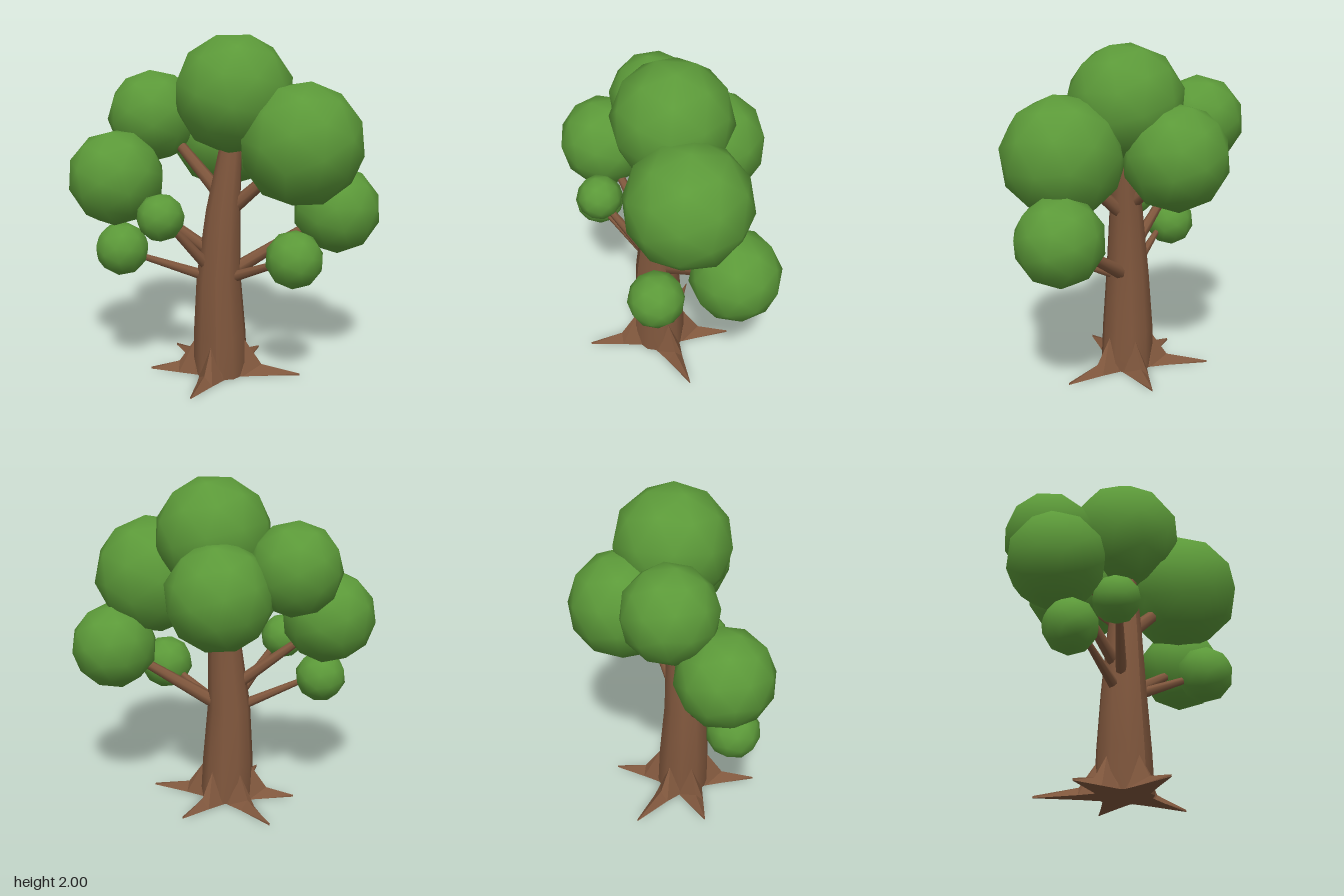
import * as THREE from 'three';

export function createModel() {
  const tree = new THREE.Group();
  tree.name = 'tree';
  const bark = new THREE.MeshStandardMaterial({ color: 0x80573d });
  bark.name = 'bark brown';
  const leaf = new THREE.MeshStandardMaterial({ color: 0x5c9a39 });
  leaf.name = 'leaf green';

  const add = (name, geometry, material) => {
    const mesh = new THREE.Mesh(geometry, material);
    mesh.name = name;
    tree.add(mesh);
    return mesh;
  };

  // Trunk: a cylinder whose rings follow a leaning, tapering path [y, x, z, radius]
  const rings = [
    [0, -0.02, 0.12, 0.165], [0.25, -0.025, 0.12, 0.157], [0.6, -0.03, 0.125, 0.132],
    [1.0, -0.005, 0.11, 0.102], [1.37, 0.035, 0.08, 0.066], [1.6, 0.05, 0.06, 0.045],
  ];
  const trunk = new THREE.CylinderGeometry(1, 1, rings.length - 1, 10, rings.length - 1);
  const p = trunk.attributes.position;
  for (let i = 0; i < p.count; i++) {
    const [y, x, z, r] = rings[Math.round(p.getY(i) + (rings.length - 1) / 2)];
    p.setXYZ(i, x + p.getX(i) * r, y, z + p.getZ(i) * r);
  }
  trunk.computeVertexNormals();
  add('trunk', trunk, bark);

  // Roots: triangular sections [distance, ridge height, half width] running out to a point
  const rootGeometry = (length) => {
    const sections = [[0.07, 0.3, 0.1], [0.15, 0.2, 0.078], [0.25, 0.055, 0.05], [length, 0.012, 0.002]];
    const v = [];
    const tri = (a, b, c) => v.push(...a, ...b, ...c);
    const quad = (a, b, c, d) => { tri(a, b, c); tri(a, c, d); };
    const corners = ([d, h, w]) => [[d, 0, w], [d, h, 0], [d, 0, -w]];
    for (let i = 0; i < sections.length - 1; i++) {
      const a = corners(sections[i]), b = corners(sections[i + 1]);
      for (let k = 0; k < 3; k++) {
        const n = (k + 1) % 3;
        quad(a[k], b[k], b[n], a[n]);
      }
    }
    const g = new THREE.BufferGeometry();
    g.setAttribute('position', new THREE.Float32BufferAttribute(v, 3));
    g.computeVertexNormals();
    return g;
  };
  const rootTips = [[0.46, 0.14], [0.17, -0.28], [-0.36, -0.25], [-0.44, 0.16], [-0.13, 0.56]];
  for (const [x, z] of rootTips) {
    const dx = x + 0.02, dz = z - 0.12;
    const root = add('root', rootGeometry(Math.hypot(dx, dz)), bark);
    root.position.set(-0.02, 0, 0.12);
    root.rotation.y = -Math.atan2(dz, dx);
  }

  // Branches: [start, end, start radius, end radius]
  const branches = [
    [[-0.08, 0.59, 0.13], [-0.46, 0.745, 0.27], 0.034, 0.018],
    [[-0.07, 0.64, 0.15], [-0.28, 0.95, 0.34], 0.036, 0.02],
    [[-0.06, 0.73, 0.12], [-0.45, 1.03, 0.18], 0.04, 0.024],
    [[-0.01, 1.07, 0.1], [-0.32, 1.4, -0.02], 0.045, 0.03],
    [[0.02, 0.98, 0.1], [0.34, 1.28, 0.15], 0.045, 0.032],
    [[0.0, 1.03, 0.1], [-0.04, 1.27, -0.18], 0.045, 0.03],
    [[0.03, 0.61, 0.1], [0.5, 0.9, 0.0], 0.045, 0.027],
    [[0.03, 0.59, 0.14], [0.34, 0.74, 0.3], 0.034, 0.02],
  ];
  for (const [start, end, r0, r1] of branches) {
    const a = new THREE.Vector3(...start), b = new THREE.Vector3(...end);
    const dir = b.clone().sub(a);
    const branch = add('branch', new THREE.CylinderGeometry(r1, r0, dir.length(), 7), bark);
    branch.position.copy(a).lerp(b, 0.5);
    branch.quaternion.setFromUnitVectors(new THREE.Vector3(0, 1, 0), dir.normalize());
  }

  // Foliage: rounded clumps [x, y, z, radius, tilt x, turn y, tilt z]
  const clumps = [
    [0.05, 1.67, 0.055, 0.35, 0.12, 0.1, 0.27],
    [0.45, 1.4, 0.16, 0.36, 0.1, 0.4, -0.15],
    [0.65, 0.99, -0.03, 0.26, 0.3, 0.2, 0.3],
    [-0.05, 1.38, -0.25, 0.317, 0.2, 0.3, 0.2],
    [-0.45, 1.52, -0.07, 0.275, 0.1, 0.2, 0.05],
    [-0.62, 1.19, 0.195, 0.281, 0.2, 0.5, 0.1],
    [-0.575, 0.785, 0.27, 0.156, 0.3, 0.1, 0.2],
    [-0.325, 1.0, 0.365, 0.138, 0.1, 0.6, 0.1],
    [0.43, 0.78, 0.35, 0.166, 0.2, 0.3, 0.15],
  ];
  for (const [x, y, z, r, tx, ty, tz] of clumps) {
    const clump = add('leafClump', new THREE.IcosahedronGeometry(r, 1), leaf);
    clump.position.set(x, y, z);
    clump.rotation.set(tx, ty, tz);
  }
  return tree;
}
